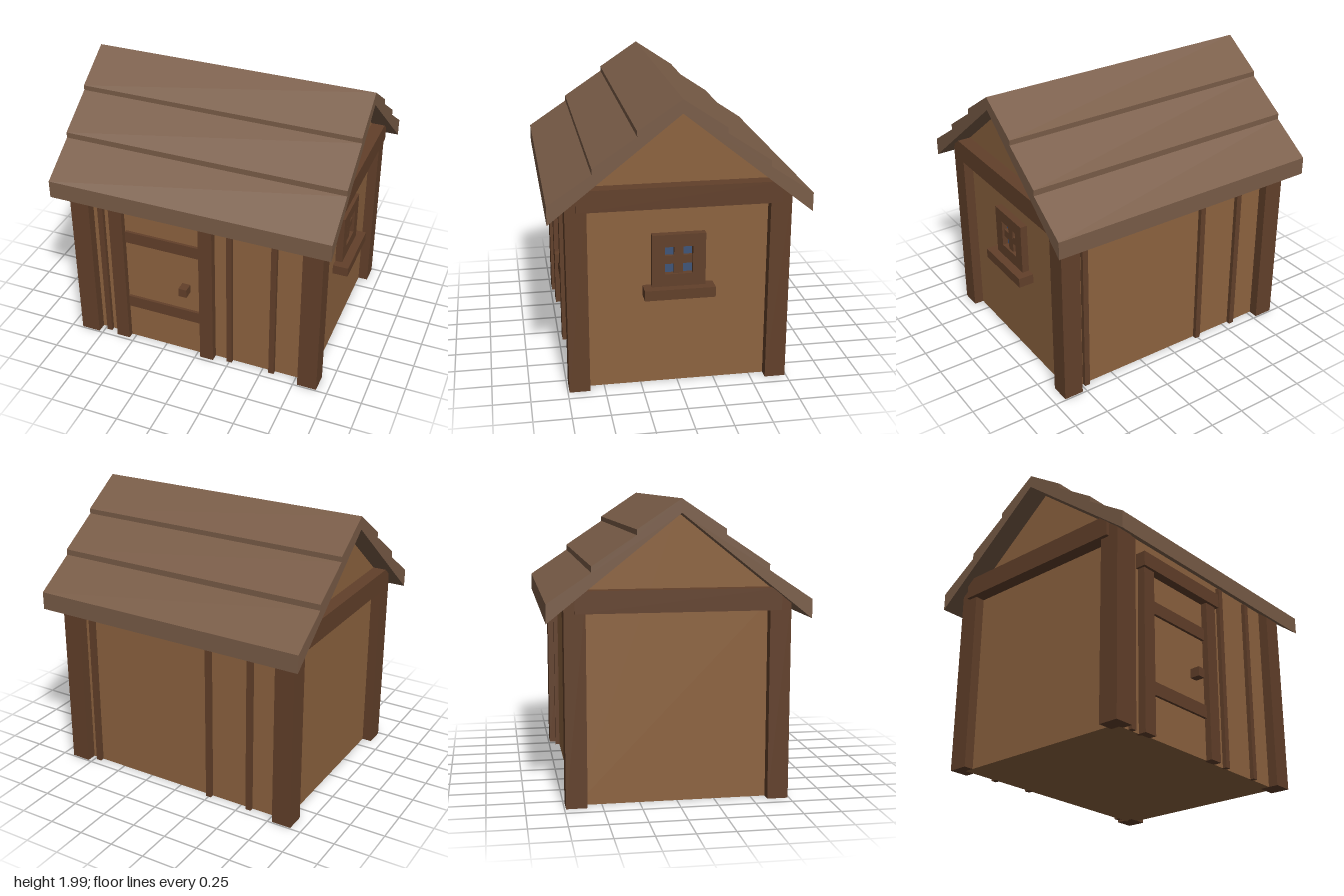
import * as THREE from 'three';

const material = (color) => new THREE.MeshStandardMaterial({ color, flatShading: true });

export function createModel() {
  const cabin = new THREE.Group();
  cabin.name = 'cabin';
  const plank = material(0x8d633f);
  const timber = material(0x62402a);
  const shingle = material(0x795c47);
  const glass = material(0x3f5578);

  const add = (name, geometry, mat, parent = cabin) => {
    const mesh = new THREE.Mesh(geometry, mat);
    mesh.name = name;
    parent.add(mesh);
    return mesh;
  };
  // Box given by its limits on each axis
  const box = (name, [x0, x1], [y0, y1], [z0, z1], mat = timber, parent = cabin) => {
    const mesh = add(name, new THREE.BoxGeometry(x1 - x0, y1 - y0, z1 - z0), mat, parent);
    mesh.position.set((x0 + x1) / 2, (y0 + y1) / 2, (z0 + z1) / 2);
    return mesh;
  };
  const shapeOf = (points) => new THREE.Shape(points.map(([z, y]) => new THREE.Vector2(z, y)));
  // Side profile (z, y) extruded along x
  const extrudeX = (shape, x0, x1) =>
    new THREE.ExtrudeGeometry(shape, { depth: x1 - x0, bevelEnabled: false })
      .rotateY(Math.PI / 2).translate(x0, 0, 0);
  // Complete a half profile running from the ridge by mirroring it
  const mirrored = (half) => half.slice(1).reverse().map(([z, y]) => [-z, y]).concat(half);

  // Walls with gables
  const wallProfile = mirrored([[0, 1.92], [0.67, 1.385], [0.67, 0]]);
  add('walls', extrudeX(shapeOf(wallProfile), -0.85, 0.85), plank);

  // Stepped roof: three courses on each slope
  const roofTop = mirrored([
    [0, 1.99], [0.285, 1.80], [0.285, 1.765],
    [0.57, 1.575], [0.57, 1.535], [0.855, 1.345], [0.855, 1.22],
  ]);
  add('roof', extrudeX(shapeOf([...roofTop, [0, 1.90]]), -1, 1), shingle);

  // Corner posts and gable tie beams
  for (const sx of [-1, 1]) {
    for (const sz of [-1, 1]) {
      const post = box('cornerPost', [0.78, 0.92], [0, 1.36], [0.6, 0.74]);
      post.position.x *= sx;
      post.position.z *= sz;
    }
    const beam = box('tieBeam', [0.8, 0.945], [1.27, 1.415], [-0.67, 0.67]);
    beam.position.x *= sx;
  }

  // Wall battens, the back set being the front set turned half round
  for (const turn of [0, Math.PI]) {
    const battens = new THREE.Group();
    battens.name = turn ? 'backBattens' : 'frontBattens';
    battens.rotation.y = turn;
    for (const x of [-0.715, 0.25, 0.57]) {
      box('batten', [x - 0.02, x + 0.02], [0, 1.35], [0.66, 0.70], timber, battens);
    }
    cabin.add(battens);
  }

  // Door with frame, rails and knob
  const door = new THREE.Group();
  door.name = 'door';
  cabin.add(door);
  box('doorPanel', [-0.54, 0.035], [0, 1.15], [0.65, 0.68], plank, door);
  for (const x of [-0.587, 0.084]) {
    box('doorJamb', [x - 0.05, x + 0.05], [0, 1.15], [0.65, 0.725], timber, door);
  }
  box('doorLintel', [-0.655, 0.155], [1.145, 1.25], [0.65, 0.745], timber, door);
  for (const y of [0.335, 0.905]) {
    box('doorRail', [-0.53, 0.03], [y - 0.045, y + 0.045], [0.67, 0.70], timber, door);
  }
  box('doorKnob', [-0.11, -0.05], [0.54, 0.605], [0.67, 0.75], timber, door);

  // Window in the left wall
  const gableWindow = new THREE.Group();
  gableWindow.name = 'window';
  cabin.add(gableWindow);
  const frame = shapeOf([[-0.178, 0.71], [0.178, 0.71], [0.178, 1.075], [-0.178, 1.075]]);
  frame.holes.push(new THREE.Path(
    [[-0.093, 0.80], [-0.093, 0.99], [0.093, 0.99], [0.093, 0.80]]
      .map(([z, y]) => new THREE.Vector2(z, y))));
  add('windowFrame', extrudeX(frame, 0.84, 0.9), timber, gableWindow);
  box('windowPane', [0.84, 0.86], [0.80, 0.99], [-0.093, 0.093], glass, gableWindow);
  box('windowBar', [0.845, 0.885], [0.80, 0.99], [-0.03, 0.03], timber, gableWindow);
  box('windowBar', [0.845, 0.884], [0.867, 0.923], [-0.093, 0.093], timber, gableWindow);
  box('windowSill', [0.84, 0.96], [0.645, 0.715], [-0.235, 0.235], timber, gableWindow);

  return cabin;
}
